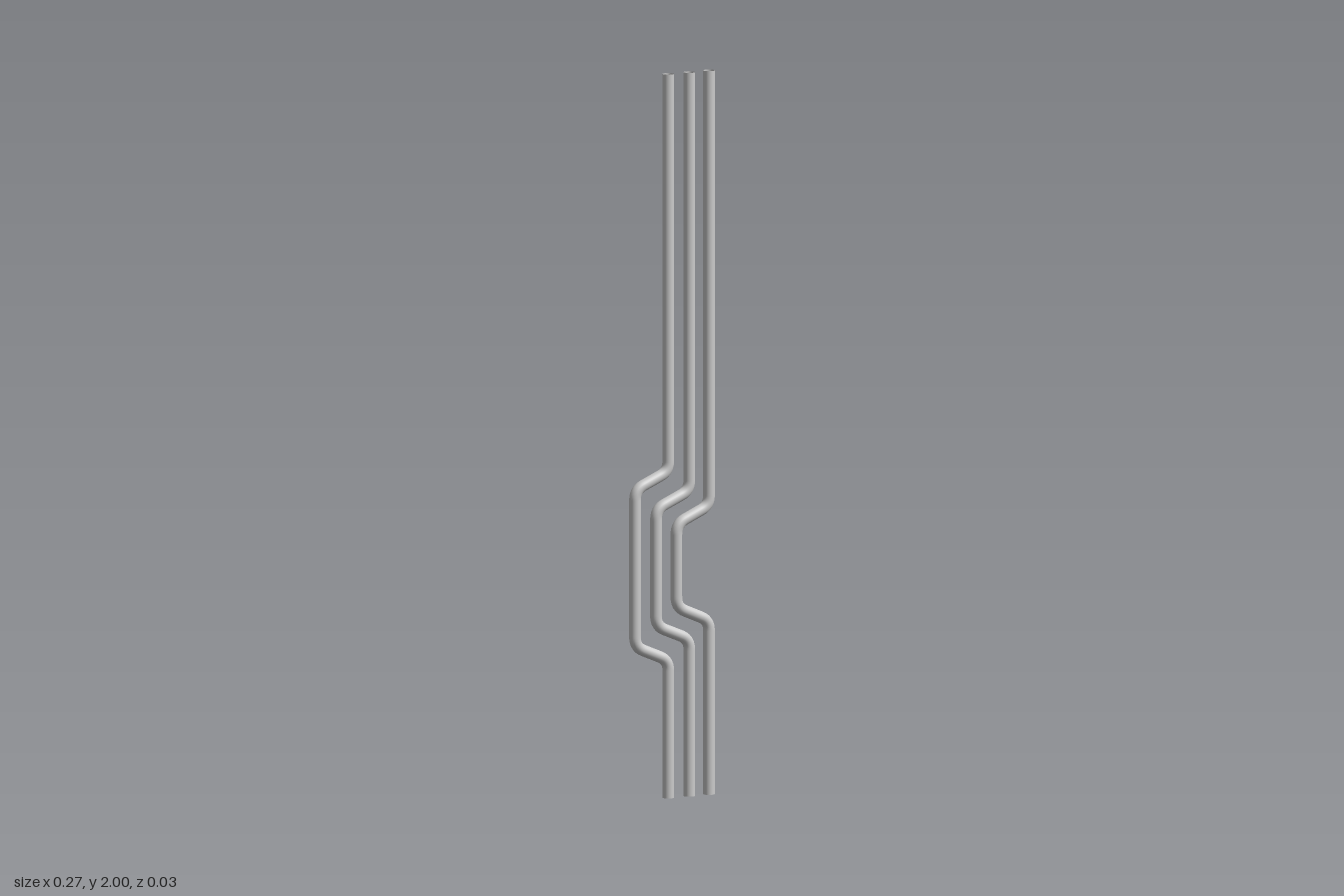
import * as THREE from 'three';

const RADIUS = 0.016;
const FILLET = 0.028; // straight length given up on each side of a bend

// Path of straight runs joined by rounded corners
function roundedPath(points) {
  const path = new THREE.CurvePath();
  let start = points[0];
  for (let i = 1; i < points.length - 1; i++) {
    const corner = points[i];
    const toward = (p) => corner.clone().add(p.clone().sub(corner).setLength(FILLET));
    const a = toward(points[i - 1]);
    const b = toward(points[i + 1]);
    path.add(new THREE.LineCurve3(start, a));
    path.add(new THREE.QuadraticBezierCurve3(a, corner, b));
    start = b;
  }
  path.add(new THREE.LineCurve3(start, points[points.length - 1]));
  return path;
}

export function createModel() {
  const group = new THREE.Group();
  group.name = 'bentPipes';
  const material = new THREE.MeshStandardMaterial({ color: 0xcccccc, side: THREE.DoubleSide });

  // Each pipe: main x, offset x, then the heights of its four bends
  const pipes = [
    ['rightPipe', -0.013, -0.119, [0.38, 0.424, 0.858, 0.902]],
    ['middlePipe', 0.054, -0.052, [0.433, 0.477, 0.8, 0.844]],
    ['leftPipe', 0.117, 0.013, [0.48, 0.524, 0.754, 0.798]],
  ];

  for (const [name, x, xOffset, [y1, y2, y3, y4]] of pipes) {
    const points = [[x, 0], [x, y1], [xOffset, y2], [xOffset, y3], [x, y4], [x, 2]]
      .map(([px, py]) => new THREE.Vector3(px, py, 0));
    // Open-ended round pipe
    const geometry = new THREE.TubeGeometry(roundedPath(points), 300, RADIUS, 24, false);
    const pipe = new THREE.Mesh(geometry, material);
    pipe.name = name;
    group.add(pipe);
  }
  return group;
}
